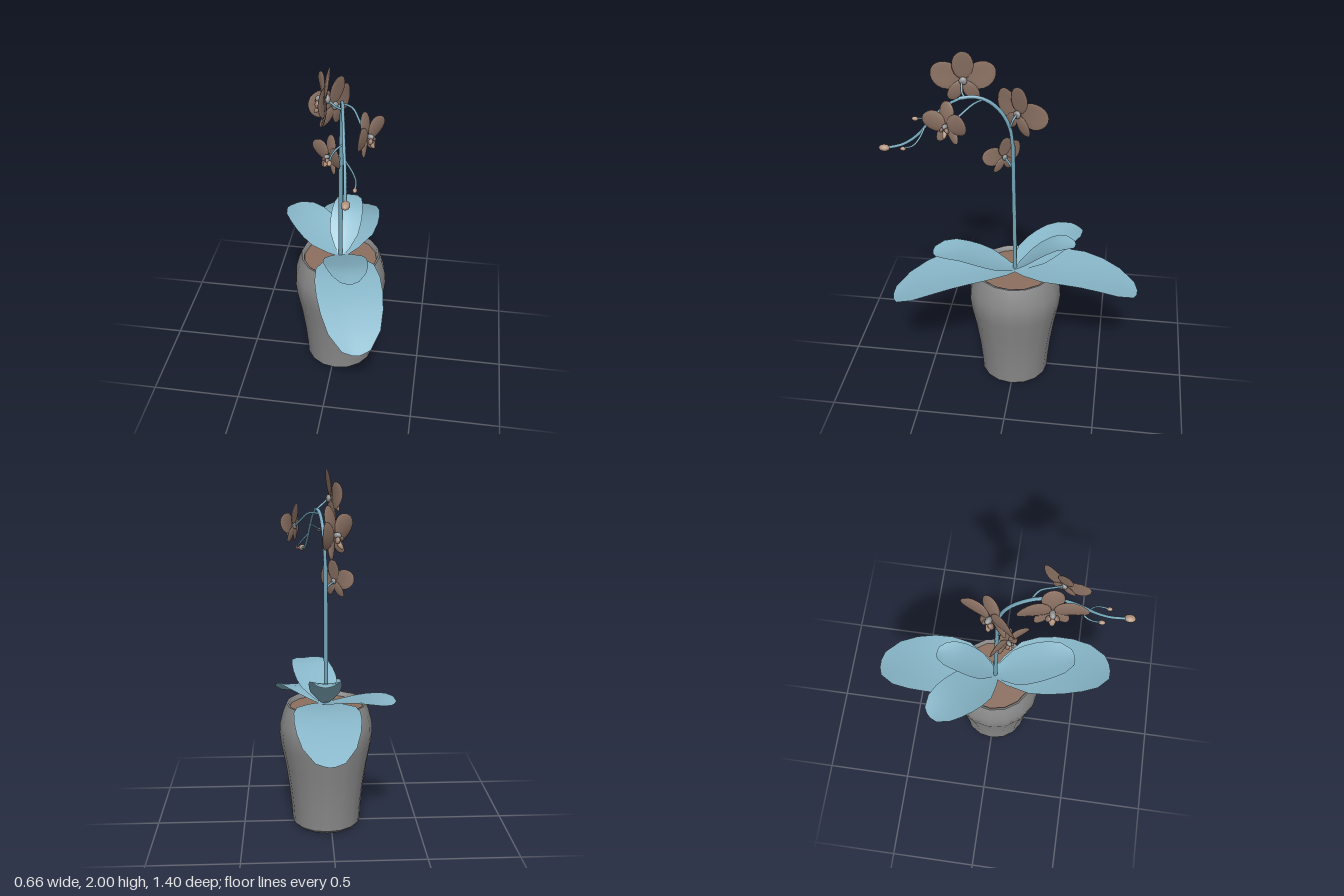
import * as THREE from 'three';

const mat = (name, color, side = THREE.FrontSide) => {
  const m = new THREE.MeshStandardMaterial({ color, side });
  m.name = name;
  return m;
};

export function createModel() {
  const root = new THREE.Group();
  root.name = 'pottedOrchid';
  const potGrey = mat('potGrey', 0x8a8a8a);
  const soilBrown = mat('soilBrown', 0x8d7060);
  const leafBlue = mat('leafBlue', 0x88b7c9, THREE.DoubleSide);
  const stemBlue = mat('stemBlue', 0x74a8bc);
  const petalBrown = mat('petalBrown', 0x8c7264);
  const budTan = mat('budTan', 0xb2937f);
  const columnGrey = mat('columnGrey', 0x929292);
  const V = (a) => new THREE.Vector3(...a);
  const CX = 0.025; // pot axis

  const add = (parent, name, geo, material, pos = [0, 0, 0]) => {
    const m = new THREE.Mesh(geo, material);
    m.name = name;
    m.position.set(...pos);
    parent.add(m);
    return m;
  };
  const lathe = (pts) => new THREE.LatheGeometry(pts.map((p) => new THREE.Vector2(...p)), 16);
  const ellipsoid = (x, y, z, w = 12, h = 8) => new THREE.SphereGeometry(1, w, h).scale(x, y, z);

  // Pot: wall, chamfered foot, rim, underside and soil
  add(root, 'potWall', lathe([[0.195, 0.02], [0.2, 0.1], [0.212, 0.22], [0.232, 0.36], [0.256, 0.48],
    [0.264, 0.55], [0.26, 0.61], [0.242, 0.68], [0.224, 0.725]]), potGrey, [CX, 0, 0]);
  add(root, 'potFoot', lathe([[0.168, 0.005], [0.175, 0], [0.195, 0.02]]), potGrey, [CX, 0, 0]);
  add(root, 'potRim', lathe([[0.224, 0.725], [0.212, 0.725], [0.205, 0.69]]), potGrey, [CX, 0, 0]);
  add(root, 'potUnderside', new THREE.CircleGeometry(0.17, 16).rotateX(Math.PI / 2), stemBlue, [CX, 0.005, 0]);
  add(root, 'soil', new THREE.CircleGeometry(0.212, 16).rotateX(-Math.PI / 2), soilBrown, [CX, 0.7, 0]);

  // Leaves: a spine of (distance, height) points swept with a blunt oval outline
  const outline = [[0, 0.2], [0.1, 0.5], [0.25, 0.9], [0.4, 1], [0.55, 1], [0.7, 0.93],
    [0.84, 0.77], [0.96, 0.42], [1, 0.12]];
  function leaf(name, tip, half, spinePts, cup) {
    const base = new THREE.Vector2(0.03, 0);
    const dir = new THREE.Vector2(...tip).sub(base);
    const length = dir.length();
    dir.normalize();
    const spine = new THREE.SplineCurve(spinePts.map(([t, y]) => new THREE.Vector2(t, y)));
    const pos = [], idx = [];
    outline.forEach(([t, w], i) => {
      const p = spine.getPoint(t);
      for (let j = 0; j < 5; j++) {
        const s = (j - 2) / 2, off = s * w * half;
        pos.push(base.x + dir.x * p.x * length - dir.y * off, p.y + cup * s * s * w,
          base.y + dir.y * p.x * length + dir.x * off);
        if (i && j) {
          const a = i * 5 + j;
          idx.push(a, a - 5, a - 1, a - 5, a - 6, a - 1);
        }
      }
    });
    const g = new THREE.BufferGeometry();
    g.setAttribute('position', new THREE.Float32BufferAttribute(pos, 3));
    g.setIndex(idx);
    g.computeVertexNormals();
    add(root, name, g, leafBlue);
  }
  leaf('backLargeLeaf', [0.03, -0.7], 0.178, [[0, 0.72], [0.25, 0.745], [0.5, 0.745], [0.75, 0.7], [1, 0.62]], 0.012);
  leaf('frontLargeLeaf', [0.21, 0.675], 0.18, [[0, 0.72], [0.25, 0.755], [0.5, 0.735], [0.75, 0.675], [1, 0.585]], 0.015);
  leaf('sideLeaf', [-0.31, -0.335], 0.13, [[0, 0.72], [0.25, 0.755], [0.5, 0.79], [0.75, 0.815], [1, 0.815]], 0.012);
  leaf('backSmallLeaf', [0.04, -0.34], 0.09, [[0, 0.72], [0.25, 0.8], [0.5, 0.87], [0.75, 0.915], [1, 0.915]], 0.012);
  leaf('frontSmallLeaf', [0.14, 0.445], 0.12, [[0, 0.72], [0.25, 0.775], [0.5, 0.825], [0.75, 0.865], [1, 0.865]], 0.015);

  // Stem and flower stalks
  const tube = (name, pts, r, n = 10) => add(root, name,
    new THREE.TubeGeometry(new THREE.CatmullRomCurve3(pts.map(V)), n, r, 7), stemBlue);
  tube('lowerStem', [[0.025, 0.69, 0], [0.025, 1, 0.003], [0.025, 1.3, 0.008], [0.027, 1.5, 0.01]], 0.012, 8);
  tube('archedStem', [[0.027, 1.49, 0.01], [0.03, 1.6, 0.025], [0.037, 1.69, 0.065], [0.047, 1.755, 0.13],
    [0.06, 1.782, 0.2], [0.073, 1.775, 0.28]], 0.01, 20);
  tube('droopingStem', [[0.072, 1.776, 0.27], [0.085, 1.74, 0.34], [0.1, 1.665, 0.42], [0.115, 1.58, 0.49],
    [0.127, 1.525, 0.57], [0.14, 1.505, 0.65]], 0.008, 20);
  tube('flowerStalk1', [[0.07, 1.777, 0.25], [0.04, 1.8, 0.27], [0, 1.835, 0.275]], 0.006);
  tube('flowerStalk2', [[0.03, 1.6, 0.025], [0.035, 1.65, 0.01], [0.01, 1.67, -0.005]], 0.006);
  tube('flowerStalk3', [[0.05, 1.765, 0.16], [0.11, 1.765, 0.2], [0.155, 1.72, 0.26], [0.185, 1.685, 0.305]], 0.006);
  tube('flowerStalk4', [[0.026, 1.33, 0.008], [0.015, 1.38, 0.025], [-0.015, 1.4, 0.055]], 0.006);
  tube('budStalk1', [[0.098, 1.68, 0.405], [0.06, 1.655, 0.43], [0.045, 1.64, 0.47], [0.045, 1.635, 0.52]], 0.005);
  tube('budStalk2', [[0.108, 1.62, 0.455], [0.15, 1.57, 0.48], [0.17, 1.54, 0.51], [0.172, 1.525, 0.56]], 0.005);

  // Buds
  add(root, 'tipBud', ellipsoid(0.022, 0.018, 0.03), budTan, [0.143, 1.505, 0.668]);
  add(root, 'sideBud1', ellipsoid(0.012, 0.012, 0.018), budTan, [0.045, 1.634, 0.52]);
  add(root, 'sideBud2', ellipsoid(0.011, 0.011, 0.016), budTan, [0.172, 1.522, 0.56]);

  // Cupped petal growing along +y, bent forward toward its tip
  function petal(length, half, bend) {
    const g = ellipsoid(half, length / 2, 0.009, 12, 10).translate(0, length / 2 + 0.008, 0);
    const p = g.attributes.position;
    for (let i = 0; i < p.count; i++) {
      const x = p.getX(i), y = p.getY(i);
      p.setZ(i, p.getZ(i) + bend * (y / length) ** 2 - 1.5 * x * x);
    }
    g.computeVertexNormals();
    return g;
  }

  // Flower: rear sepals, broad side petals, lip and column; faces local +z
  function flower(name, pos, nx, nz, size, roll) {
    const f = new THREE.Group();
    f.name = name;
    f.position.set(...pos);
    f.rotation.y = Math.atan2(nx, nz);
    f.rotateZ(roll);
    f.scale.setScalar(size);
    add(f, 'topSepal', petal(0.155, 0.056, -0.02), petalBrown, [0, 0, -0.006]);
    for (const s of [-1, 1]) {
      add(f, 'lowerSepal', petal(0.125, 0.036, 0.015), petalBrown, [0, 0, -0.006]).rotation.z = s * 2.55;
      add(f, 'sidePetal', petal(0.165, 0.074, 0.022), petalBrown, [0, 0, 0.004]).rotation.z = s * 1.32;
      add(f, 'lipLobe', ellipsoid(0.012, 0.02, 0.016), petalBrown, [s * 0.02, -0.018, 0.03]).rotation.z = s * 0.6;
    }
    add(f, 'lip', ellipsoid(0.017, 0.032, 0.012), budTan, [0, -0.045, 0.03]).rotation.x = -0.5;
    add(f, 'column', ellipsoid(0.016, 0.018, 0.024), columnGrey, [0, 0.003, 0.02]);
    add(f, 'calyx', ellipsoid(0.022, 0.022, 0.014), columnGrey, [0, 0, -0.016]);
    root.add(f);
  }
  flower('upperFlower', [-0.018, 1.838, 0.272], -0.98, 0.16, 1, 0);
  flower('middleFlower', [-0.02, 1.665, -0.015], -0.85, -0.52, 1, 0.17);
  flower('frontFlower', [0.2, 1.68, 0.32], 0.92, 0.38, 0.78, 0.05);
  flower('lowerFlower', [-0.028, 1.405, 0.068], -0.72, 0.7, 0.74, 0);

  return root;
}
